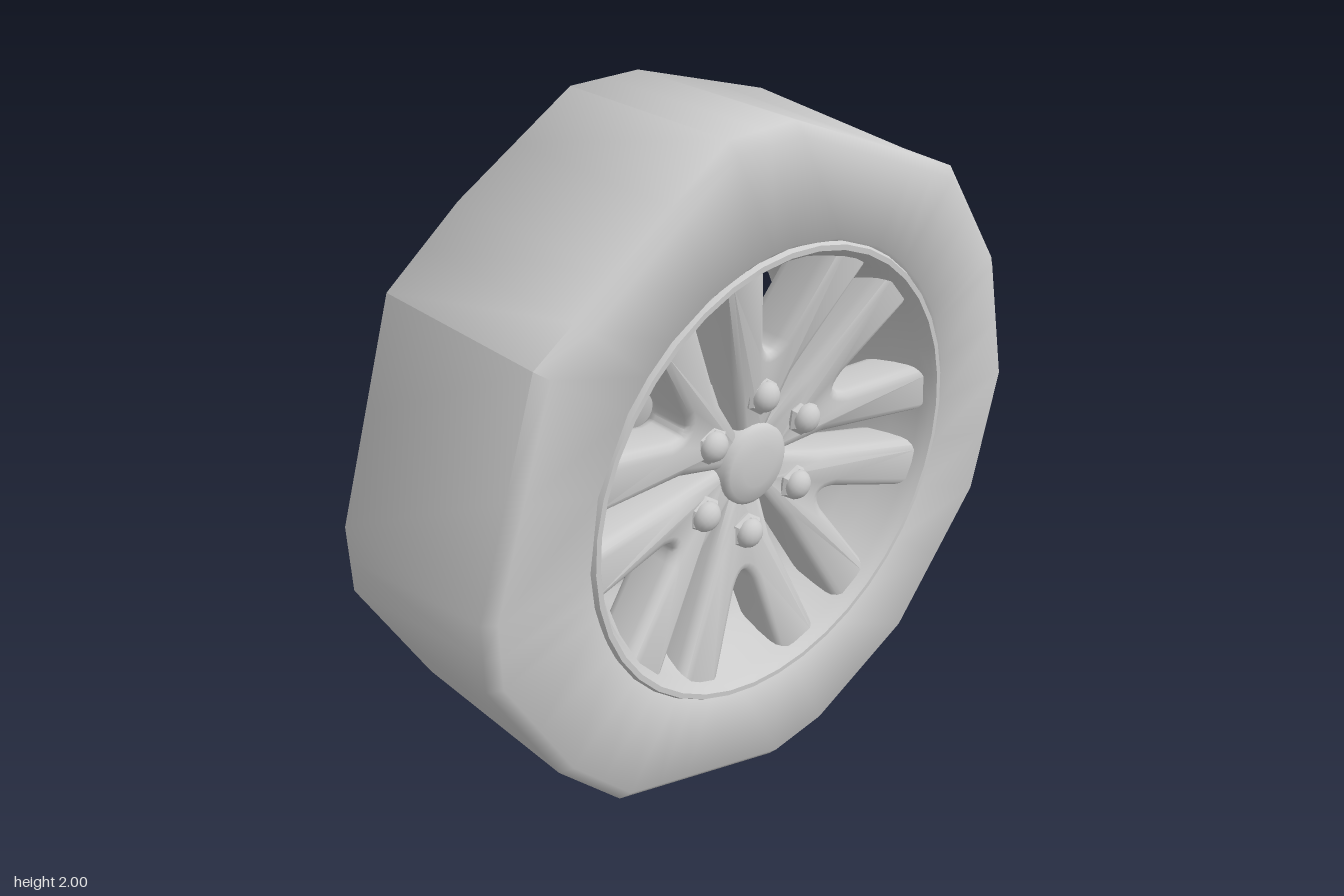
import * as THREE from 'three';
import { toCreasedNormals } from 'three/addons/utils/BufferGeometryUtils.js';

const mat = new THREE.MeshStandardMaterial({ color: 0xcccccc, side: THREE.DoubleSide });

// Everything is built facing +z around the origin; the whole wheel is turned to face +x at the end.
// Uneven tyre outlines, counter-clockwise: the inboard side has a few more corners.
const innerOutline = [
  [1, 0], [0.9, 0.4], [0.87, 0.5], [0.66, 0.74], [0.5, 0.86], [0.03, 1], [-0.2, 1], [-0.57, 0.78], [-0.8, 0.6],
  [-1, 0], [-1, -0.2], [-0.8, -0.58], [-0.6, -0.8], [-0.4, -0.9], [0, -1], [0.2, -0.98], [0.58, -0.8], [0.91, -0.4],
];
const hidden = [2, 4, 7, 13];
const outerOutline = innerOutline.filter((p, i) => !hidden.includes(i));

// Distance from the centre to an outline in direction a
function reach(outline, a) {
  const dx = Math.cos(a), dy = Math.sin(a);
  for (let i = 0; i < outline.length; i++) {
    const [x1, y1] = outline[i], [x2, y2] = outline[(i + 1) % outline.length];
    const ex = x2 - x1, ey = y2 - y1, det = dx * ey - dy * ex;
    const t = (x1 * ey - y1 * ex) / det, s = (x1 * dy - y1 * dx) / det;
    if (t > 0 && s >= -1e-6 && s <= 1 + 1e-6) return t;
  }
  return 1;
}

function tyreGeometry() {
  const angles = [];
  innerOutline.forEach(([x1, y1], i) => {
    const [x2, y2] = innerOutline[(i + 1) % innerOutline.length];
    for (const t of [0, 0.5]) angles.push(Math.atan2(y1 + (y2 - y1) * t, x1 + (x2 - x1) * t));
  });
  const rings = [
    [-0.29, () => 0.655],
    [-0.315, () => 0.68],
    [-0.32, a => reach(innerOutline, a) * 0.965],
    [-0.292, a => reach(innerOutline, a)],
    [0.295, a => reach(outerOutline, a) * 0.993],
    [0.323, a => reach(outerOutline, a) * 0.96],
    [0.318, () => 0.68],
    [0.29, () => 0.655],
  ];
  const pos = [], index = [], n = angles.length;
  rings.forEach(([z, radius], i) => angles.forEach((a, j) => {
    const r = radius(a);
    pos.push(r * Math.cos(a), r * Math.sin(a), z);
    if (i === rings.length - 1) return;
    const p = i * n + j, q = i * n + (j + 1) % n;
    index.push(p, q, p + n, q, q + n, p + n);
  }));
  const g = new THREE.BufferGeometry();
  g.setAttribute('position', new THREE.Float32BufferAttribute(pos, 3));
  g.setIndex(index);
  return toCreasedNormals(g, 1);
}

// Turned part from [radius, z] points
function turned(points, sides, crease = 0.6) {
  const g = new THREE.LatheGeometry(points.map(p => new THREE.Vector2(...p)), sides);
  return toCreasedNormals(g.rotateX(Math.PI / 2), crease);
}

// V-shaped pair of spokes straddling one lug, rising from the hub to the rim
function spokePairGeometry() {
  const s = new THREE.Shape();
  s.moveTo(-0.04, 0.08);
  s.lineTo(0.04, 0.08);
  s.lineTo(0.105, 0.26);
  s.lineTo(0.275, 0.595);
  s.lineTo(0.145, 0.64);
  s.lineTo(0.045, 0.37);
  s.quadraticCurveTo(0, 0.29, -0.045, 0.37);
  s.lineTo(-0.145, 0.64);
  s.lineTo(-0.275, 0.595);
  s.lineTo(-0.105, 0.26);
  s.closePath();
  const g = new THREE.ExtrudeGeometry(s, {
    depth: 0.09, bevelThickness: 0.035, bevelSize: 0.03, bevelOffset: -0.02, bevelSegments: 3, curveSegments: 8,
  });
  const p = g.attributes.position;
  for (let i = 0; i < p.count; i++) {
    const r = Math.hypot(p.getX(i), p.getY(i));
    const rise = THREE.MathUtils.clamp((r - 0.2) / 0.42, 0, 1);
    p.setZ(i, p.getZ(i) + 0.065 + 0.1 * rise);
  }
  return toCreasedNormals(g, 0.9);
}

export function createModel() {
  const wheel = new THREE.Group();
  wheel.name = 'wheel';
  const add = (name, geometry, parent = wheel) => {
    const m = new THREE.Mesh(geometry, mat);
    m.name = name;
    parent.add(m);
    return m;
  };

  add('tyre', tyreGeometry());

  // Rim barrel with a rolled lip at both ends
  add('rim', turned([
    [0.655, -0.29], [0.67, -0.32], [0.655, -0.327], [0.625, -0.312], [0.595, -0.27], [0.575, -0.21],
    [0.56, -0.1], [0.552, 0.03], [0.565, 0.13], [0.6, 0.2], [0.625, 0.28], [0.64, 0.31], [0.65, 0.323],
    [0.665, 0.323], [0.672, 0.31],
  ], 40));

  // Brake disc ring and recessed hub behind the spokes
  add('brakeDisc', turned([[0.26, -0.08], [0.44, -0.08], [0.44, -0.05], [0.26, -0.05], [0.26, -0.08]], 40));
  add('hub', turned([
    [0, 0.05], [0.17, 0.05], [0.17, -0.03], [0.27, -0.05], [0.27, 0.09], [0.25, 0.11], [0.14, 0.13], [0, 0.13],
  ], 30));
  add('centreCap', turned([[0.12, 0.12], [0.12, 0.205], [0.105, 0.217], [0.06, 0.225], [0, 0.228]], 32, 1));

  // Six spoke pairs, each with its lug nut
  const spokes = spokePairGeometry();
  const nut = turned([[0.058, 0.15], [0.058, 0.205], [0.048, 0.215], [0, 0.215]], 6, 0.3);
  const dome = new THREE.SphereGeometry(0.045, 16, 10).scale(1, 1, 0.8).translate(0, 0, 0.215);
  for (let i = 0; i < 6; i++) {
    const unit = new THREE.Group();
    unit.name = 'spokeUnit';
    unit.rotation.z = -0.13 + i * Math.PI / 3;
    add('spokePair', spokes, unit);
    add('lugNut', nut, unit).position.y = 0.21;
    add('lugDome', dome, unit).position.y = 0.21;
    wheel.add(unit);
  }

  wheel.rotation.y = Math.PI / 2;
  wheel.position.y = 1;
  const model = new THREE.Group();
  model.add(wheel);
  return model;
}
